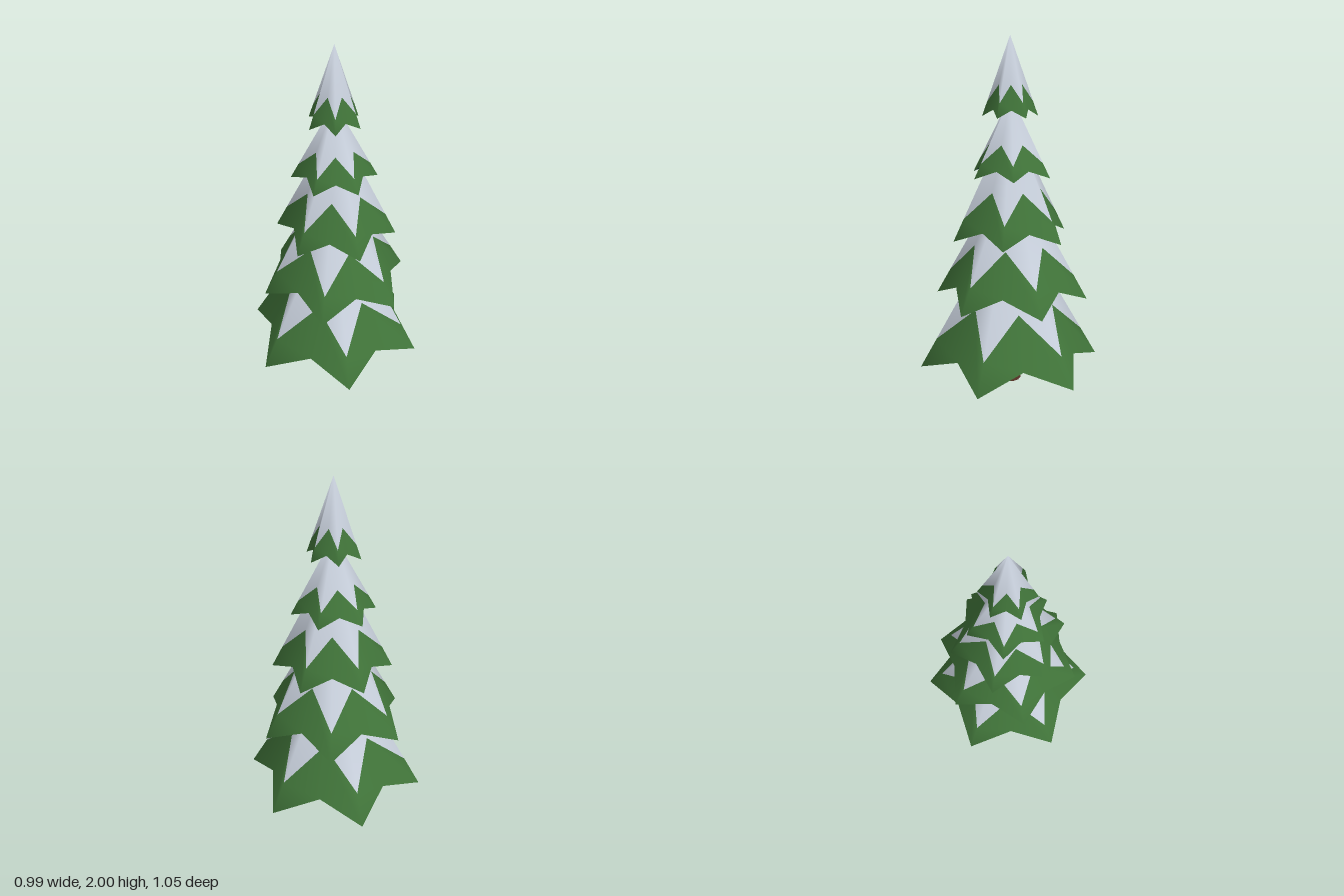
import * as THREE from 'three';

const mat = (name, color, side = THREE.FrontSide) => {
  const m = new THREE.MeshStandardMaterial({ color, side });
  m.name = name;
  return m;
};

// One six-pointed tier: snow cap, green fringe and hollow underside
function tierGeometry({ tip, valley, yTip, yValley, apex, phase }) {
  const n = 12;
  const pos = [0, apex, 0];
  // Ring at a share of the way from apex (0) to rim (1), for tips and valleys
  const ring = (tipShare, valleyShare) => {
    const start = pos.length / 3;
    for (let i = 0; i < n; i++) {
      const a = THREE.MathUtils.degToRad(phase + i * 30);
      const [r, y, s] = i % 2 ? [valley, yValley, valleyShare] : [tip, yTip, tipShare];
      pos.push(r * s * Math.cos(a), apex + (y - apex) * s, r * s * Math.sin(a));
    }
    return start;
  };
  const snowEdge = ring(0.82, 0.66);
  const rim = ring(1, 1);
  const underRim = ring(1, 1);
  const underTop = pos.length / 3;
  pos.push(0, yTip + (apex - yTip) * 0.6, 0);

  const snow = [], fringe = [], under = [];
  for (let i = 0; i < n; i++) {
    const j = (i + 1) % n;
    snow.push(0, snowEdge + j, snowEdge + i);
    fringe.push(snowEdge + i, snowEdge + j, rim + i, snowEdge + j, rim + j, rim + i);
    under.push(underTop, underRim + i, underRim + j);
  }
  const g = new THREE.BufferGeometry();
  g.setAttribute('position', new THREE.Float32BufferAttribute(pos, 3));
  g.setIndex([...snow, ...fringe, ...under]);
  g.addGroup(0, snow.length, 0);
  g.addGroup(snow.length, fringe.length, 1);
  g.addGroup(snow.length + fringe.length, under.length, 2);
  g.computeVertexNormals();
  return g;
}

export function createModel() {
  const tree = new THREE.Group();
  tree.name = 'snowyPineTree';

  const branchMaterials = [
    mat('snow white', 0xc9d1dd),
    mat('pine green', 0x41753a),
    mat('shaded teal green', 0x1a4a40),
  ];
  const bark = mat('bark brown', 0x5c3629);

  // Trunk, tapering upward into the lowest tier
  const trunk = new THREE.Mesh(new THREE.CylinderGeometry(0.045, 0.067, 0.6, 12), bark);
  trunk.name = 'trunk';
  trunk.position.set(0.005, 0.3, 0);
  tree.add(trunk);

  // Tiers from bottom to top, each turned a little differently
  const tiers = [
    { tip: 0.53, valley: 0.39, yTip: 0.11, yValley: 0.205, apex: 1.04, phase: -20.5, x: 0.002, z: -0.004 },
    { tip: 0.44, valley: 0.335, yTip: 0.52, yValley: 0.61, apex: 1.31, phase: -1.5, x: 0.012, z: -0.008 },
    { tip: 0.345, valley: 0.255, yTip: 0.885, yValley: 0.95, apex: 1.57, phase: -33, x: 0.015, z: -0.003 },
    { tip: 0.24, valley: 0.175, yTip: 1.235, yValley: 1.28, apex: 1.68, phase: 17, x: 0.008, z: -0.008 },
    { tip: 0.155, valley: 0.11, yTip: 1.565, yValley: 1.605, apex: 2.0, phase: -13, x: 0.006, z: -0.004 },
  ];
  tiers.forEach((t, i) => {
    const mesh = new THREE.Mesh(tierGeometry(t), branchMaterials);
    mesh.name = `branchTier${i + 1}`;
    mesh.position.set(t.x, 0, t.z);
    tree.add(mesh);
  });
  return tree;
}
